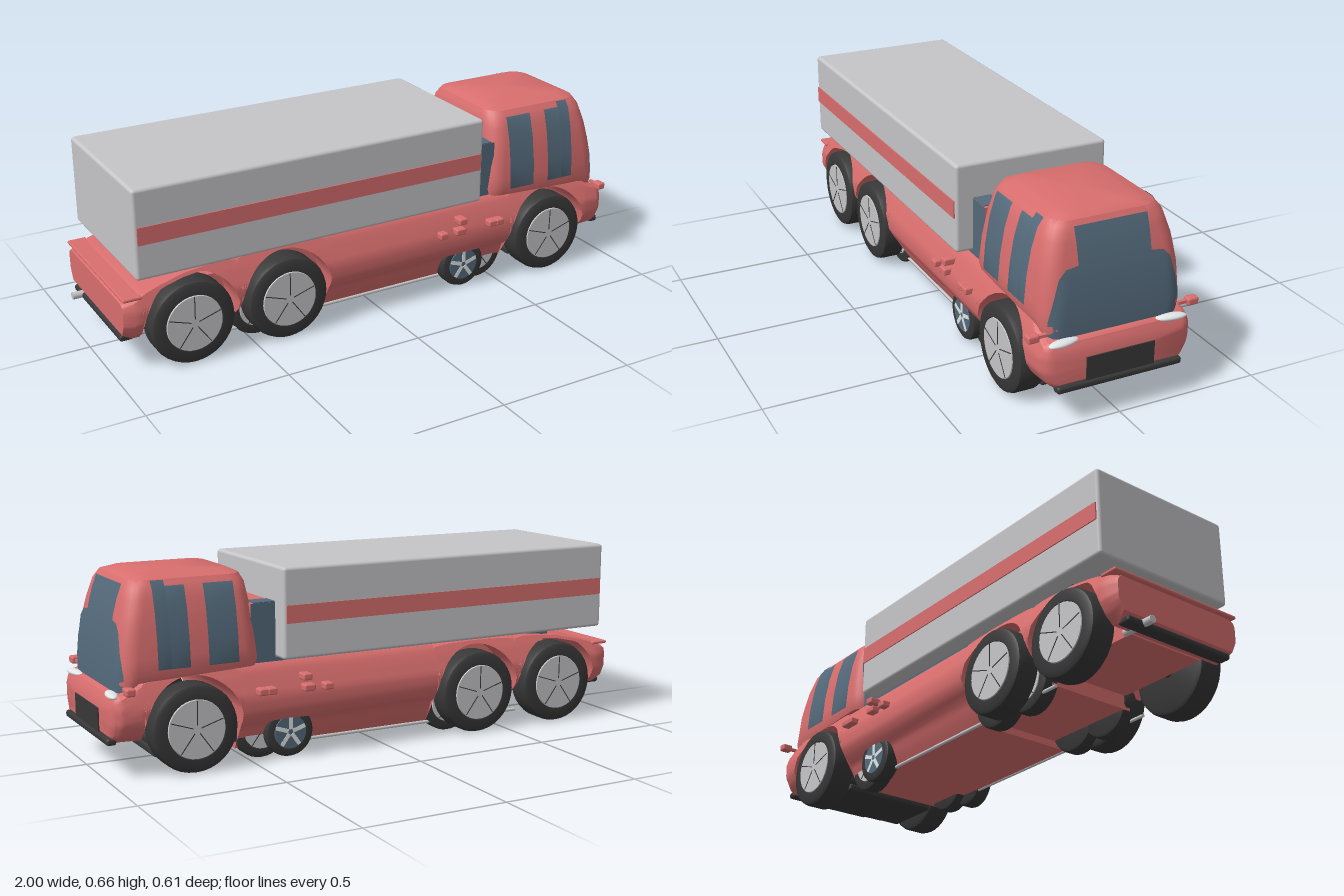
import * as THREE from 'three';
import { toCreasedNormals } from 'three/addons/utils/BufferGeometryUtils.js';
import { RoundedBoxGeometry } from 'three/addons/geometries/RoundedBoxGeometry.js';

const mat = (name, color, extra = {}) => Object.assign(new THREE.MeshStandardMaterial({ color, ...extra }), { name });
const red = mat('red paint', 0xd96e6e);
const grey = mat('light grey', 0xc6c6c9);
const dark = mat('dark rubber', 0x383838);
const glass = mat('blue glass', 0x546a7b, { side: THREE.DoubleSide });
const white = mat('lamp white', 0xe4e8ea);

// Linear interpolation in rows [key, a, b, ...]
function table(rows, t) {
  if (t <= rows[0][0]) return rows[0].slice(1);
  for (let i = 1; i < rows.length; i++) {
    const [p, q] = [rows[i - 1], rows[i]];
    if (t <= q[0]) return q.slice(1).map((v, k) => p[k + 1] + (v - p[k + 1]) * (t - p[0]) / (q[0] - p[0]));
  }
  return rows[rows.length - 1].slice(1);
}

// Skin over rings of points; closed rings get end caps
function loft(rings, closed = true) {
  const n = rings[0].length, pos = rings.flat(2), idx = [];
  for (let i = 0; i < rings.length - 1; i++) {
    for (let j = 0; j < (closed ? n : n - 1); j++) {
      const k = (j + 1) % n, a = i * n + j, b = a + n, c = (i + 1) * n + k, d = i * n + k;
      idx.push(a, b, c, a, c, d);
    }
  }
  if (closed) {
    for (const i of [0, rings.length - 1]) {
      const o = pos.length / 3, r = rings[i];
      pos.push(...[0, 1, 2].map(k => r.reduce((s, p) => s + p[k], 0) / n));
      for (let j = 0; j < n; j++) {
        const a = i * n + j, b = i * n + (j + 1) % n;
        idx.push(...(i === 0 ? [o, a, b] : [o, b, a]));
      }
    }
  }
  const g = new THREE.BufferGeometry();
  g.setAttribute('position', new THREE.Float32BufferAttribute(pos, 3));
  g.setIndex(idx);
  return toCreasedNormals(g, 0.6);
}

// Cab rows: height, rear x, front x, half width, corner radius
const CAB = [[0.335, 0.465, 0.955, 0.243, 0.06], [0.36, 0.463, 0.957, 0.25, 0.06], [0.45, 0.47, 0.946, 0.243, 0.06],
  [0.54, 0.48, 0.926, 0.228, 0.06], [0.61, 0.488, 0.907, 0.207, 0.06], [0.64, 0.5, 0.89, 0.186, 0.06], [0.655, 0.53, 0.855, 0.135, 0.05]];
// The lower front edge of the cab sags towards the nose
const sag = (x, y) => y - 0.05 * THREE.MathUtils.smoothstep(x, 0.86, 0.95) * Math.max(0, 1 - (y - 0.335) / 0.15);
function cabRing(y) {
  const [x0, x1, w, r] = table(CAB, y), ring = [];
  const corners = [[x1 - r, w - r], [x0 + r, w - r], [x0 + r, r - w], [x1 - r, r - w]];
  corners.forEach(([cx, cz], q) => {
    for (let k = 0; k <= 6; k++) {
      const t = (q + k / 6) * Math.PI / 2, x = cx + r * Math.cos(t);
      ring.push([x, sag(x, y), cz + r * Math.sin(t)]);
    }
  });
  return ring;
}
function cabFront(y, z) {
  const [, x1, w, r] = table(CAB, y), e = Math.max(0, Math.abs(z) - (w - r));
  const x = x1 - r + Math.sqrt(Math.max(0, r * r - e * e));
  return [x + 0.004, sag(x, y), z];
}

// Lower body: top line, barrel-shaped half width, end taper
const TOP = [[-0.965, 0.265], [-0.9, 0.292], [-0.75, 0.325], [-0.6, 0.34], [0.8, 0.338], [0.88, 0.325], [0.95, 0.288], [0.975, 0.28], [0.99, 0.25]];
const BARREL = [[0.045, 0.185], [0.09, 0.21], [0.128, 0.225], [0.15, 0.252], [0.19, 0.273], [0.24, 0.274], [0.3, 0.253], [0.34, 0.235]];
const TAPER = [[-0.965, 0.93], [-0.93, 1], [0.9, 1], [0.96, 0.97], [0.98, 0.91], [0.99, 0.83]];
const BOTTOM = [[-0.965, 0.15], [-0.93, 0.125], [-0.53, 0.125], [-0.529, 0.045], [0.6, 0.045], [0.601, 0.125], [0.97, 0.13], [0.99, 0.15]];
const AXLES = [-0.73, -0.38, 0.715];
function bodyRing(x) {
  const top = table(TOP, x)[0], taper = table(TAPER, x)[0];
  let low = table(BOTTOM, x)[0];
  for (const c of AXLES) if (Math.abs(x - c) < 0.172) low = Math.max(low, 0.155 + Math.sqrt(0.172 ** 2 - (x - c) ** 2));
  low = Math.min(low, top - 0.012);
  const side = [];
  for (let k = 0; k <= 14; k++) {
    const y = low + (top - low) * k / 14;
    side.push([x, y, table(BARREL, y)[0] * taper - (k === 14 ? 0.012 : 0)]);
  }
  return [...side, ...side.slice().reverse().map(([a, b, c]) => [a, b, -c])];
}

export function createModel() {
  const model = new THREE.Group();
  const add = (name, geo, material, x = 0, y = 0, z = 0, parent = model) => {
    const m = new THREE.Mesh(geo, material);
    m.name = name;
    m.position.set(x, y, z);
    parent.add(m);
    return m;
  };
  const box = (name, material, x0, x1, y0, y1, z0, z1, r = 0) => add(name,
    r ? new RoundedBoxGeometry(x1 - x0, y1 - y0, z1 - z0, 2, r) : new THREE.BoxGeometry(x1 - x0, y1 - y0, z1 - z0),
    material, (x0 + x1) / 2, (y0 + y1) / 2, (z0 + z1) / 2);

  // Body shell with the wheel arches cut through
  const xs = TAPER.concat(TOP, BOTTOM).map(r => r[0]);
  for (const c of AXLES) {
    xs.push(c - 0.1725, c + 0.1725);
    for (let k = 0; k <= 24; k++) xs.push(c - 0.1719 * Math.cos(k / 24 * Math.PI));
  }
  const stations = [...new Set(xs)].sort((a, b) => a - b);
  add('body', loft(stations.map(bodyRing)), red);
  box('middleChassis', red, -0.56, -0.2, 0.07, 0.33, -0.17, 0.17);
  box('rearChassis', red, -0.9, -0.56, 0.12, 0.25, -0.15, 0.15);
  box('loadDeck', glass, -0.72, 0.42, 0.33, 0.352, -0.22, 0.22);

  // Cab and its glazing
  add('cab', loft([0.335, 0.36, 0.4, 0.45, 0.5, 0.54, 0.58, 0.61, 0.627, 0.64, 0.65, 0.655].map(cabRing)), red);
  const shield = [[0.337, 0.232], [0.38, 0.231], [0.43, 0.215], [0.48, 0.196], [0.505, 0.17], [0.51, 0.128], [0.54, 0.128], [0.58, 0.128], [0.625, 0.128]];
  add('windscreen', loft(shield.map(([y, h]) =>
    Array.from({ length: 29 }, (_, k) => cabFront(y, h * (1 - k / 14)))), false), glass);
  for (const s of [1, -1]) {
    for (const [x0, x1, y1] of [[0.55, 0.655, 0.62], [0.72, 0.785, 0.62], [0.785, 0.83, 0.638]]) {
      const rows = [0.357, 0.36, 0.45, 0.54, 0.61, y1].map(y => {
        const z = s * (table(CAB, y)[2] + 0.004);
        return [[x1, y, z], [x0, y, z]];
      });
      add('sideWindow', loft(rows, false), glass);
    }
  }
  // Glazed section behind the cab
  add('rearCabSection', new THREE.BoxGeometry(0.09, 0.21, 0.44), [red, glass, red, red, glass, glass], 0.448, 0.435, 0);
  for (const s of [1, -1]) box('cornerGlass', glass, 0.404, 0.48, 0.538, 0.543, s * 0.187 - 0.032, s * 0.187 + 0.032);

  // Cargo box with a stripe on each side
  box('cargoBox', grey, -0.92, 0.4, 0.35, 0.662, -0.28, 0.28, 0.012);
  for (const s of [1, -1]) box('cargoStripe', red, -0.91, 0.39, 0.474, 0.535, s * 0.281 - 0.003, s * 0.281 + 0.003);

  // Nose details
  box('grille', dark, 0.96, 0.994, 0.145, 0.225, -0.121, 0.121);
  box('frontBumper', dark, 0.965, 1, 0.12, 0.145, -0.223, 0.223, 0.01);
  box('lowerGrille', dark, 0.86, 0.96, 0.103, 0.125, -0.107, 0.107);
  for (const y of [0.065, 0.096]) box('frontCrossBar', dark, 0.6, 0.83, y - 0.014, y + 0.014, -0.187, 0.187, 0.01);
  for (const s of [1, -1]) {
    const lamp = add('headlight', new THREE.SphereGeometry(1, 20, 12), white, 0.968, 0.28, s * 0.19);
    lamp.scale.set(0.02, 0.011, 0.056);
    lamp.rotation.y = s * 0.15;
    box('cornerMarker', red, 0.925, 0.957, 0.292, 0.318, s * 0.284 - 0.02, s * 0.284 + 0.02, 0.007);
    box('markerStem', red, 0.935, 0.947, 0.3, 0.31, s * 0.255 - 0.02, s * 0.255 + 0.02);
    // Side fittings
    for (const [x, y, w] of [[0.24, 0.25, 0.034], [0.312, 0.252, 0.042], [0.32, 0.29, 0.034], [0.45, 0.255, 0.034], [0.482, 0.255, 0.034]])
      box('sideFitting', red, x - w / 2, x + w / 2, y - 0.012, y + 0.012, s * 0.275 - 0.025, s * 0.275 + 0.02, 0.006);
    const rail = add('sillRail', new THREE.CylinderGeometry(0.006, 0.006, 0.9, 8), grey, -0.15, 0.046, s * 0.19);
    rail.rotation.z = Math.PI / 2;
  }

  // Tail details
  box('tailBar', red, -0.966, -0.9, 0.277, 0.289, -0.265, 0.265, 0.005);
  box('rearBumper', dark, -0.968, -0.92, 0.118, 0.14, -0.22, 0.22, 0.008);
  const exhaust = add('exhaust', new THREE.CylinderGeometry(0.013, 0.013, 0.12, 14), grey, -0.94, 0.132, -0.15);
  exhaust.rotation.z = Math.PI / 2;

  // Wheels: lathed tyre, disc and dark seams, axis along z
  function wheel(name, x, y, z, r, width, hubMat, side, seamMat) {
    const g = new THREE.Group();
    g.name = name;
    g.position.set(x, y, z);
    if (side < 0) g.rotation.y = Math.PI;
    const h = width / 2, hub = r * 0.68;
    const profile = [[0.001, -h], [r * 0.9, -h], [r * 0.97, -h * 0.88], [r, -h * 0.6], [r, h * 0.6], [r * 0.97, h * 0.88],
      [r * 0.9, h], [hub, h], [hub * 0.98, h * 0.9], [0.001, h * 0.9]].map(p => new THREE.Vector2(...p));
    const tyre = add('tyre', toCreasedNormals(new THREE.LatheGeometry(profile, 36), 0.6), dark, 0, 0, 0, g);
    tyre.rotation.x = Math.PI / 2;
    const disc = add('hubDisc', new THREE.CylinderGeometry(hub * 0.97, hub, 0.012, 32), hubMat, 0, 0, h - 0.004, g);
    disc.rotation.x = Math.PI / 2;
    for (let k = 0; k < 5; k++) {
      const a = k / 5 * Math.PI * 2 + 0.3, t = seamMat === dark ? 0.003 : 0.014;
      const seam = add('hubSpoke', new THREE.BoxGeometry(hub * 0.8, t, 0.003), seamMat,
        Math.cos(a) * hub * 0.55, Math.sin(a) * hub * 0.55, h + 0.002, g);
      seam.rotation.z = a;
    }
    model.add(g);
  }
  for (const s of [1, -1]) {
    for (const x of AXLES) wheel('roadWheel', x, 0.155, s * 0.233, 0.149, 0.098, grey, s, dark);
    // Small support wheels tucked under the sides
    wheel('supportWheel', 0.36, 0.093, s * 0.21, 0.088, 0.06, glass, s, white);
    wheel('innerFrontWheel', 0.45, 0.105, s * 0.177, 0.1, 0.06, grey, s, dark);
    for (const x of [-0.46, -0.3]) wheel('innerRearWheel', x, 0.11, s * 0.17, 0.105, 0.06, grey, s, dark);
  }
  for (const x of AXLES) {
    const axle = add('axle', new THREE.CylinderGeometry(0.02, 0.02, 0.4, 12), dark, x, 0.155, 0);
    axle.rotation.x = Math.PI / 2;
  }
  return model;
}
